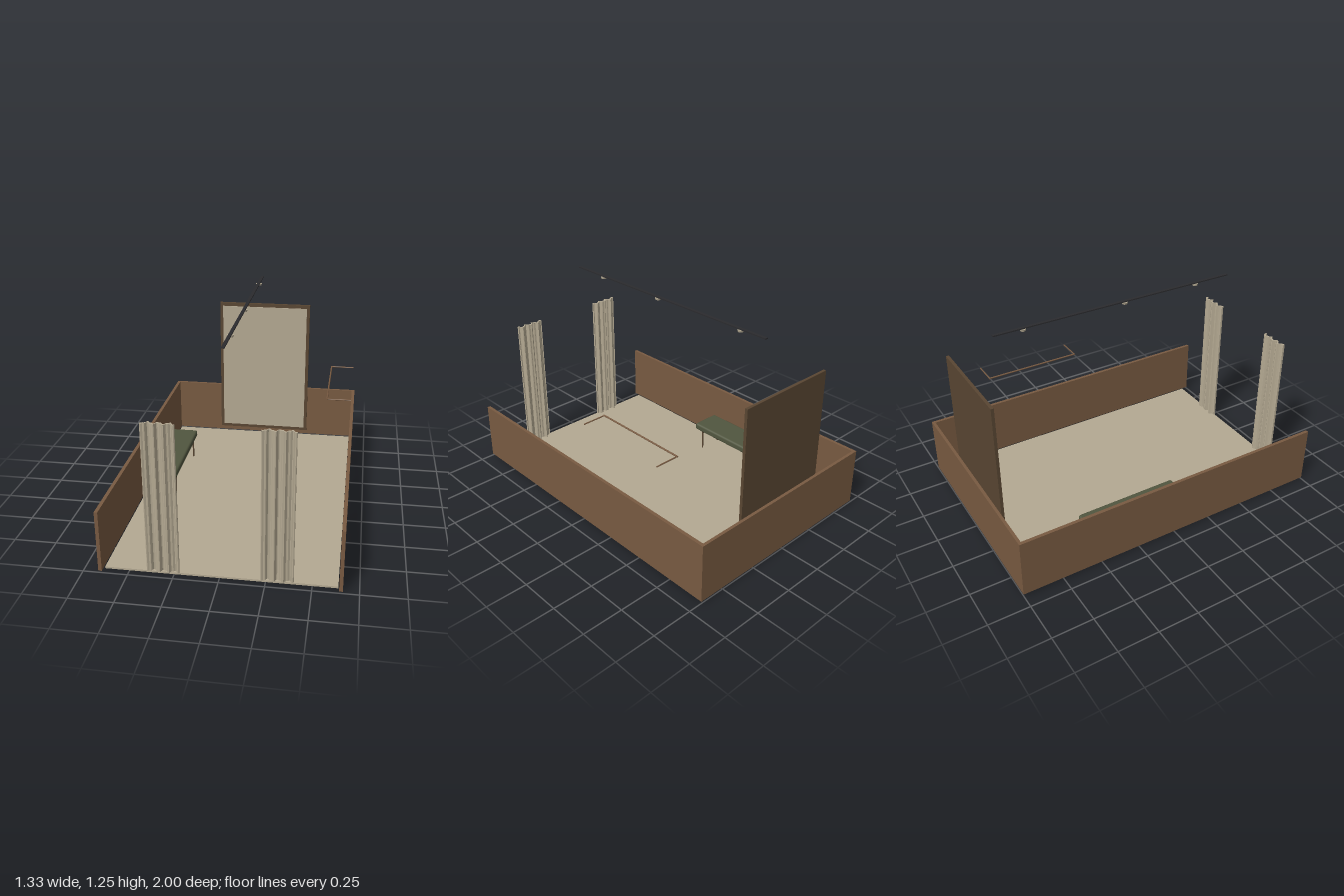
import * as THREE from 'three';
import { RoundedBoxGeometry } from 'three/addons/geometries/RoundedBoxGeometry.js';

const mat = (name, color) => {
  const m = new THREE.MeshStandardMaterial({ color });
  m.name = name;
  return m;
};

export function createModel() {
  const root = new THREE.Group();
  root.name = 'danceStudio';
  const beige = mat('beige', 0xb4a992);
  const wood = mat('warmWood', 0x785a41);
  const darkWood = mat('darkWood', 0x594632);
  const green = mat('greenUpholstery', 0x51563f);
  const black = mat('blackMetal', 0x2b2b2e);

  const add = (name, geometry, material, x = 0, y = 0, z = 0, parent = root) => {
    const m = new THREE.Mesh(geometry, material);
    m.name = name;
    m.position.set(x, y, z);
    parent.add(m);
    return m;
  };
  // Box given by its limits on each axis
  const box = (name, material, [x0, x1], [y0, y1], [z0, z1], parent = root) =>
    add(name, new THREE.BoxGeometry(x1 - x0, y1 - y0, z1 - z0), material,
      (x0 + x1) / 2, (y0 + y1) / 2, (z0 + z1) / 2, parent);

  // Floor and low walls
  box('floor', beige, [-0.638, 0.638], [0, 0.011], [-0.967, 0.957]);
  box('leftWall', wood, [0.643, 0.663], [0.011, 0.374], [-1, 1]);
  box('rightWall', wood, [-0.663, -0.643], [0.011, 0.374], [-1, 1]);
  box('backWall', wood, [-0.643, 0.643], [0.011, 0.374], [-1, -0.982]);

  // Wall mirror: backing board with a slightly raised pane
  const mirror = new THREE.Group();
  mirror.name = 'mirror';
  root.add(mirror);
  box('mirrorFrame', darkWood, [-0.321, 0.321], [0.056, 1.015], [-0.955, -0.937], mirror);
  box('mirrorPane', beige, [-0.3, 0.3], [0.079, 0.991], [-0.937, -0.931], mirror);

  // Curtains: a wavy ribbon extruded upward
  const curtainShape = () => {
    const n = 36, width = 0.18, half = 0.006, front = [], back = [];
    for (let i = 0; i <= n; i++) {
      const t = i / n, x = (t - 0.5) * width;
      const z = 0.010 * Math.sin(t * Math.PI * 6.4 + 0.4) + 0.004 * Math.sin(t * Math.PI * 15 + 1);
      front.push(new THREE.Vector2(x, -z - half));
      back.unshift(new THREE.Vector2(x, -z + half));
    }
    return new THREE.Shape([...front, ...back]);
  };
  const curtainGeometry = new THREE.ExtrudeGeometry(curtainShape(), { depth: 0.876, bevelEnabled: false });
  curtainGeometry.rotateX(-Math.PI / 2);
  add('leftCurtain', curtainGeometry, beige, 0.311, 0.011, 0.946);
  add('rightCurtain', curtainGeometry, beige, -0.311, 0.011, 0.946);

  // Padded bench on four tapered legs
  const bench = new THREE.Group();
  bench.name = 'bench';
  root.add(bench);
  add('benchSeat', new RoundedBoxGeometry(0.188, 0.046, 0.652, 3, 0.014), green, -0.516, 0.168, -0.201, bench);
  const leg = new THREE.CylinderGeometry(0.006, 0.0045, 0.136, 10);
  for (const x of [-0.591, -0.442])
    for (const z of [-0.47, 0.07]) add('benchLeg', leg, darkWood, x, 0.079, z, bench);

  // Ballet barre with two wall brackets
  const barre = new THREE.Group();
  barre.name = 'barre';
  root.add(barre);
  add('barreRail', new THREE.CylinderGeometry(0.005, 0.005, 0.61, 12).rotateX(Math.PI / 2), wood, 0.5, 0.674, -0.34, barre);
  const bracket = new THREE.CylinderGeometry(0.004, 0.004, 0.147, 10).rotateZ(Math.PI / 2);
  for (const z of [-0.641, -0.039]) add('barreBracket', bracket, wood, 0.573, 0.674, z, barre);

  // Ceiling track with three lamps
  const lights = new THREE.Group();
  lights.name = 'trackLights';
  root.add(lights);
  box('track', black, [-0.009, 0.009], [1.243, 1.25], [-0.787, 0.783], lights);
  const lamp = new THREE.CylinderGeometry(0.019, 0.016, 0.012, 20);
  for (const z of [-0.607, 0.043, 0.543]) add('lamp', lamp, beige, 0, 1.237, z, lights);

  return root;
}
